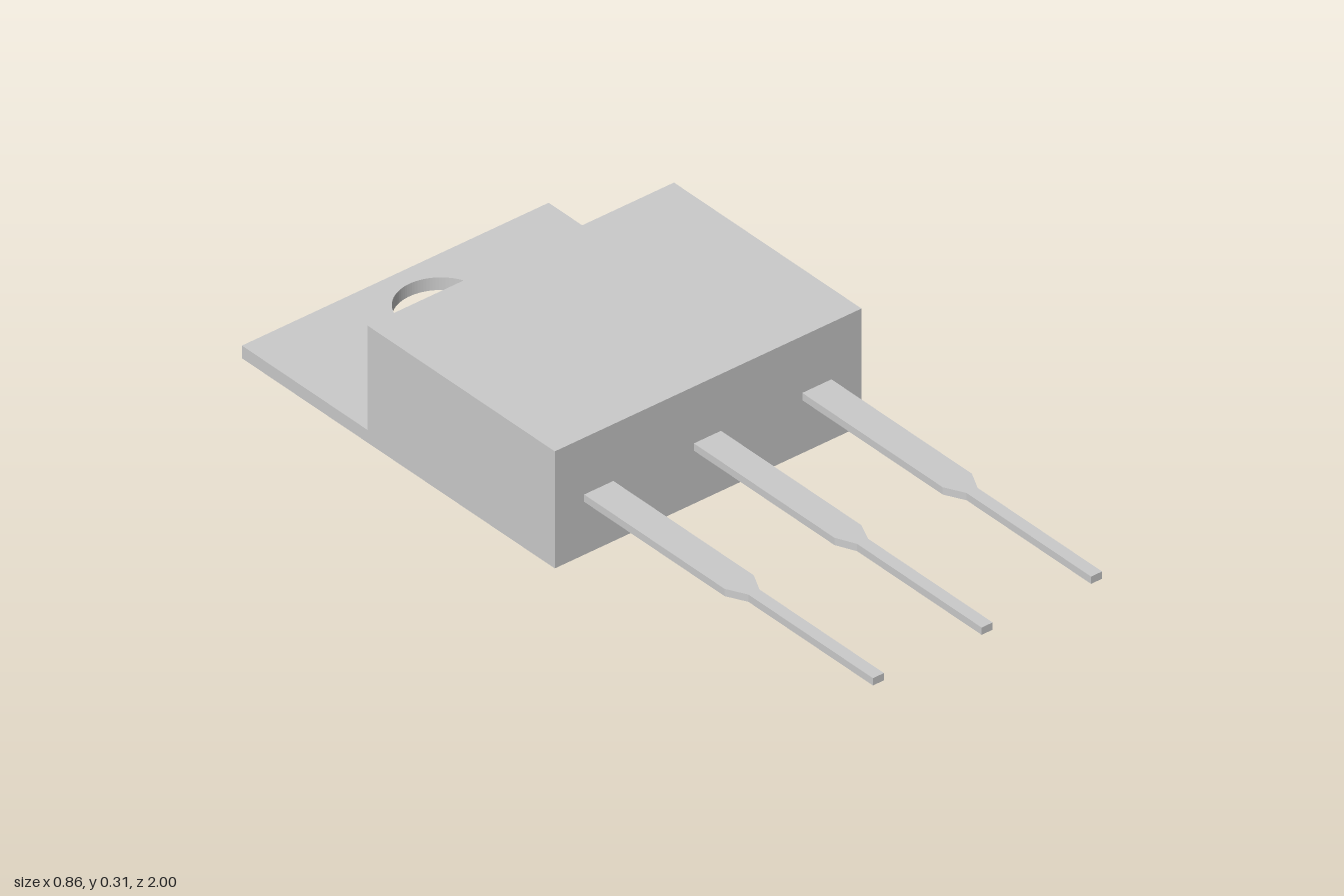
import * as THREE from 'three';

const material = new THREE.MeshStandardMaterial({ color: 0xcccccc });

// Plan outline given as [x, z] points
const outline = (points) => new THREE.Shape(points.map(([x, z]) => new THREE.Vector2(x, -z)));

// Extrude a plan outline upwards from y0 to y1
function plate(name, shape, y0, y1) {
  const geometry = new THREE.ExtrudeGeometry(shape, { depth: y1 - y0, bevelEnabled: false, curveSegments: 48 });
  geometry.rotateX(-Math.PI / 2).translate(0, y0, 0);
  const mesh = new THREE.Mesh(geometry, material);
  mesh.name = name;
  return mesh;
}

const rectangle = (w, z0, z1) => outline([[-w, z1], [w, z1], [w, z0], [-w, z0]]);

export function createModel() {
  const group = new THREE.Group();
  group.name = 'transistorPackage';
  const halfWidth = 0.431, back = -1, step = -0.577, front = 0.056;

  // Moulded body block
  group.add(plate('body', rectangle(halfWidth, step, front), 0, 0.305));

  // Thin mounting tab with a round screw hole
  const tab = rectangle(halfWidth, back, step);
  const hole = new THREE.Path();
  hole.absarc(0, 0.846, 0.106, 0, Math.PI * 2, true);
  tab.holes.push(hole);
  group.add(plate('mountingTab', tab, 0, 0.033));

  // Three flat leads, each tapering from a wide root to a narrow pin
  const leads = [
    ['rightLead', -0.3075, 0.041],
    ['middleLead', -0.002, 0.038],
    ['leftLead', 0.3055, 0.041],
  ];
  for (const [name, x, wide] of leads) {
    const narrow = 0.0155;
    const side = [[wide, front], [wide, 0.53], [narrow, 0.58], [narrow, 1]];
    const mirrored = side.map(([w, z]) => [-w, z]).reverse();
    const lead = plate(name, outline([...side, ...mirrored].reverse()), 0.138, 0.157);
    lead.position.x = x;
    group.add(lead);
  }
  return group;
}
